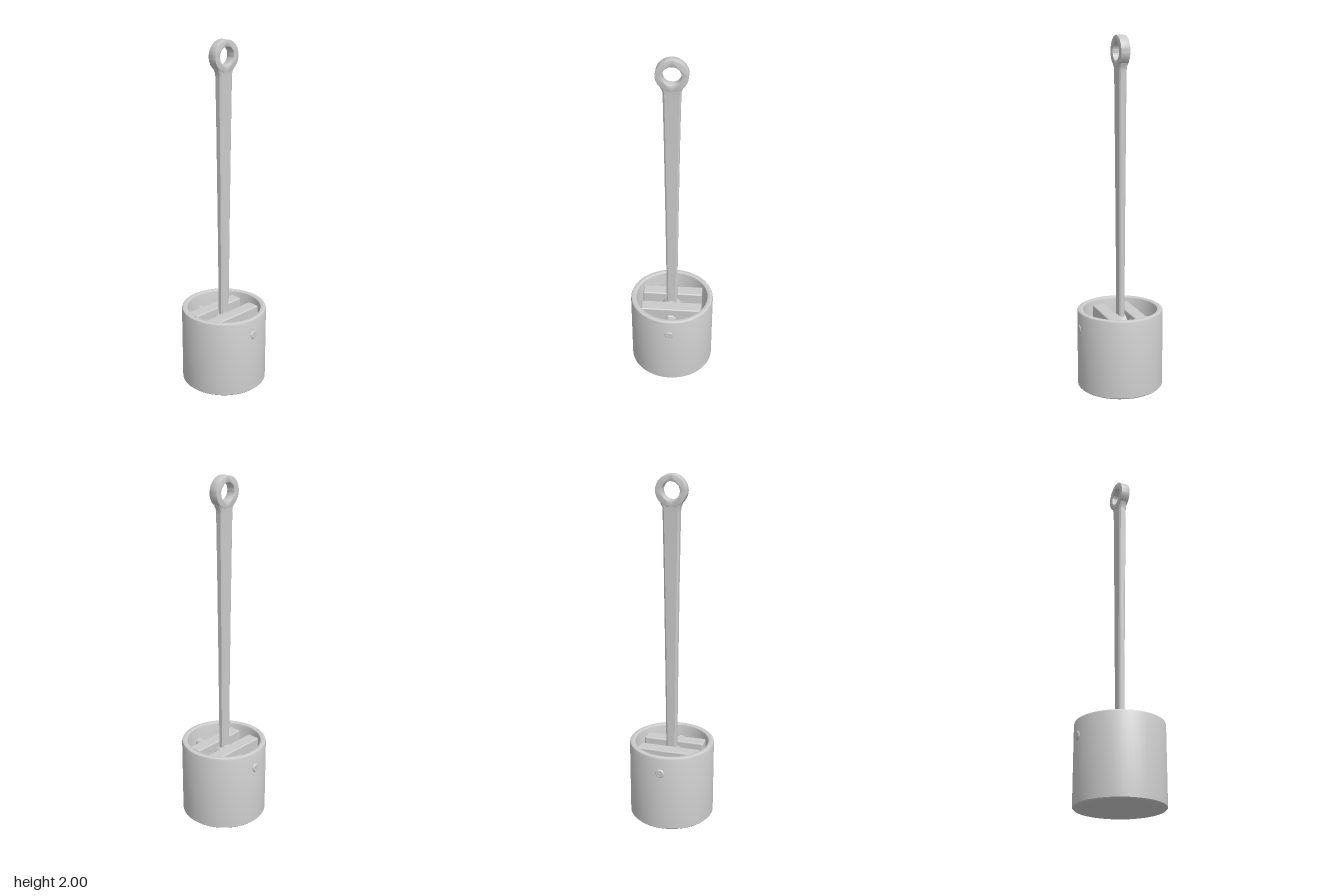
import * as THREE from 'three';
import { RoundedBoxGeometry } from 'three/addons/geometries/RoundedBoxGeometry.js';
import { toCreasedNormals } from 'three/addons/utils/BufferGeometryUtils.js';

const PIN_Y = 0.36, EYE_Y = 1.915, ROD_Z = -0.002;

export function createModel() {
  const group = new THREE.Group();
  const material = new THREE.MeshStandardMaterial({ color: 0xcccccc });
  const add = (name, geometry, x = 0, y = 0, z = 0) => {
    const mesh = new THREE.Mesh(geometry, material);
    mesh.name = name;
    mesh.position.set(x, y, z);
    group.add(mesh);
    return mesh;
  };
  const lathe = (points, sides) => toCreasedNormals(
    new THREE.LatheGeometry(points.map(([r, y]) => new THREE.Vector2(r, y)), sides), 0.6);

  // Hollow piston cup with a closed crown at the bottom and a rounded rim
  add('pistonCup', lathe([
    [0, 0], [0.241, 0], [0.247, 0.006], [0.247, 0.448], [0.244, 0.456], [0.236, 0.46],
    [0.222, 0.46], [0.215, 0.456], [0.212, 0.448], [0.212, 0.06], [0.2, 0.05], [0, 0.05],
  ], 48));

  // Wrist pin, bevelled at both ends
  const pin = (name, radius, length, bevel, z) => {
    const h = length / 2;
    const mesh = add(name, lathe([
      [0, -h], [radius - bevel, -h], [radius, -h + bevel],
      [radius, h - bevel], [radius - bevel, h], [0, h],
    ], 24), 0, PIN_Y, z);
    mesh.rotation.x = Math.PI / 2;
  };
  pin('wristPin', 0.026, 0.503, 0.005, -0.001);

  // Pin bosses spanning the cup, each with a collar on both sides
  for (const [side, z] of [['front', 0.07], ['back', -0.076]]) {
    add(side + 'PinBoss', new RoundedBoxGeometry(0.358, 0.15, 0.076, 2, 0.008), 0, PIN_Y, z);
    pin(side + 'Collar', 0.034, 0.098, 0.004, z);
  }

  // Bevelled ring used for both ends of the rod
  const ring = (name, outer, inner, thickness, y) => {
    const bevel = 0.004;
    const shape = new THREE.Shape().absarc(0, 0, outer - bevel, 0, Math.PI * 2);
    shape.holes.push(new THREE.Path().absarc(0, 0, inner + bevel, 0, Math.PI * 2, true));
    const geometry = new THREE.ExtrudeGeometry(shape, {
      depth: thickness - 2 * bevel, curveSegments: 32,
      bevelThickness: bevel, bevelSize: bevel, bevelSegments: 2,
    });
    geometry.translate(0, 0, bevel - thickness / 2);
    add(name, toCreasedNormals(geometry, 0.6), 0, y, ROD_Z);
  };
  ring('rodTopEye', 0.086, 0.05, 0.054, EYE_Y);
  ring('rodPinEye', 0.062, 0.026, 0.05, PIN_Y);

  // Tapered shank with chamfered corners: [y, half width, half depth]
  const sections = [
    [0.395, 0.031, 0.017], [0.46, 0.031, 0.017], [1.0, 0.036, 0.019],
    [1.5, 0.042, 0.021], [1.8, 0.047, 0.022], [1.825, 0.048, 0.023], [1.852, 0.06, 0.025],
  ];
  const positions = [], index = [], sides = 8;
  for (const [y, w, d] of sections) {
    const a = w - 0.009, b = d - 0.007;
    for (const [x, z] of [[a, d], [w, b], [w, -b], [a, -d], [-a, -d], [-w, -b], [-w, b], [-a, d]]) {
      positions.push(x, y, z);
    }
  }
  for (let i = 0; i < sections.length - 1; i++) {
    for (let j = 0; j < sides; j++) {
      const p = i * sides + j, q = i * sides + (j + 1) % sides;
      index.push(p, q, q + sides, p, q + sides, p + sides);
    }
  }
  // End caps
  const top = (sections.length - 1) * sides;
  for (let j = 1; j < sides - 1; j++) {
    index.push(0, j + 1, j, top, top + j, top + j + 1);
  }
  const shank = new THREE.BufferGeometry();
  shank.setAttribute('position', new THREE.Float32BufferAttribute(positions, 3));
  shank.setIndex(index);
  add('rodShank', toCreasedNormals(shank, 0.5), 0, 0, ROD_Z);

  return group;
}
